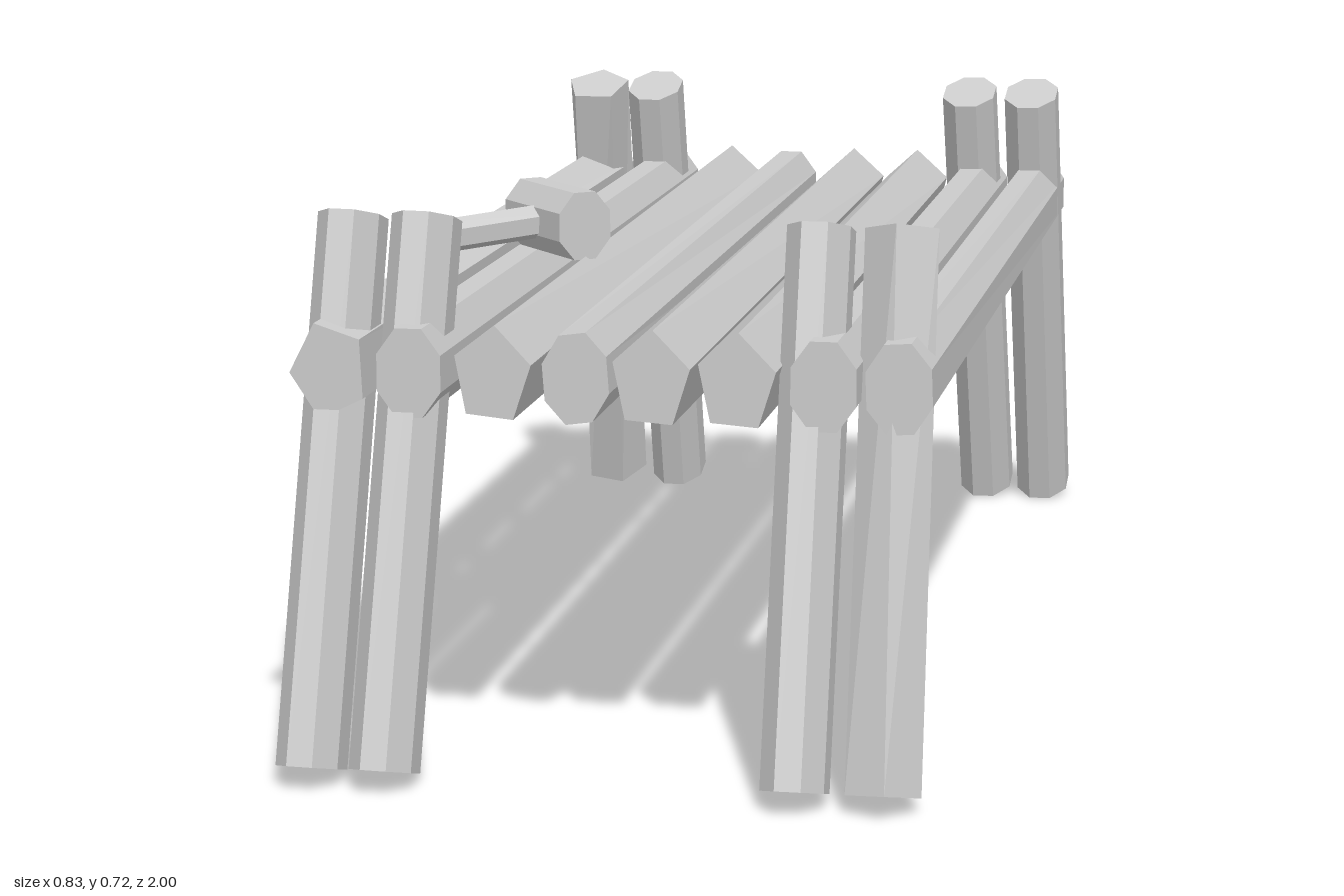
import * as THREE from 'three';

const material = new THREE.MeshStandardMaterial({ color: 0xcccccc, flatShading: true });

// Faceted log between two points; rx and rz are its half widths, twist turns the far end
function makeLog(name, from, to, rx, rz, sides, phase, twist = 0) {
  const a = new THREE.Vector3(...from), b = new THREE.Vector3(...to);
  const y = b.clone().sub(a), length = y.length();
  y.normalize();
  const side = new THREE.Vector3(1, 0, 0);
  const x = side.addScaledVector(y, -side.dot(y)).normalize();
  const z = x.clone().cross(y);

  const geometry = new THREE.CylinderGeometry(1, 1, length, sides, 1, false, phase);
  const p = geometry.attributes.position;
  for (let i = 0; i < p.count; i++) {
    const t = p.getY(i) > 0 ? twist : 0, px = p.getX(i), pz = p.getZ(i);
    p.setX(i, (px * Math.cos(t) + pz * Math.sin(t)) * rx);
    p.setZ(i, (pz * Math.cos(t) - px * Math.sin(t)) * rz);
  }
  geometry.applyMatrix4(new THREE.Matrix4().makeBasis(x, y, z));
  geometry.translate(...a.add(b).multiplyScalar(0.5).toArray());
  geometry.computeVertexNormals();
  const mesh = new THREE.Mesh(geometry, material);
  mesh.name = name;
  return mesh;
}

export function createModel() {
  const model = new THREE.Group();
  model.name = 'logTable';
  const OCT = Math.PI / 8;

  // Table top: eight long logs, [back x, front x, sides, phase, twist]
  const top = new THREE.Group();
  top.name = 'tableTop';
  const logs = [
    [-0.358, -0.36, 5, -Math.PI / 2, 0.06],
    [-0.252, -0.256, 8, OCT, 0],
    [-0.152, -0.148, 5, Math.PI, -0.08],
    [-0.052, -0.04, 8, OCT, 0.1],
    [0.054, 0.056, 5, Math.PI, -0.06],
    [0.16, 0.165, 5, Math.PI, -0.06],
    [0.268, 0.275, 8, OCT, 0],
    [0.362, 0.37, 8, OCT, 0.05],
  ];
  for (const [xBack, xFront, sides, phase, twist] of logs) {
    const [rx, ry] = sides === 5 ? [0.052, 0.065] : [0.045, 0.062];
    top.add(makeLog('topLog', [xBack, 0.521, -0.875], [xFront, 0.52, 0.87], rx, ry, sides, phase, twist));
  }
  model.add(top);

  // Legs: pairs of leaning logs, [end, foot x, head x, sides, phase, twist]
  const legs = [
    [1, -0.372, -0.36, 8, OCT, 0],
    [1, -0.276, -0.262, 8, OCT, 0],
    [1, 0.252, 0.252, 8, OCT, 0],
    [1, 0.363, 0.358, 5, 0.2, -0.25],
    [-1, -0.365, -0.352, 5, Math.PI - 0.2, 0.25],
    [-1, -0.255, -0.255, 8, OCT, 0],
    [-1, 0.275, 0.262, 8, OCT, 0],
    [-1, 0.37, 0.362, 8, OCT, 0],
  ];
  for (const [end, xFoot, xHead, sides, phase, twist] of legs) {
    const [rx, rz] = sides === 5 ? [0.05, 0.062] : [0.044, 0.064];
    const name = end > 0 ? 'frontLeg' : 'backLeg';
    model.add(makeLog(name, [xFoot, 0.018, 0.942 * end], [xHead, 0.7, 0.74 * end], rx, rz, sides, phase, twist));
  }

  // Mallet lying on the table top
  const mallet = new THREE.Group();
  mallet.name = 'mallet';
  mallet.add(
    makeLog('malletHead', [-0.253, 0.628, 0.187], [-0.147, 0.628, 0.313], 0.043, 0.051, 8, OCT),
    makeLog('malletHandle', [-0.2, 0.628, 0.25], [-0.388, 0.612, 0.41], 0.024, 0.024, 6, 0),
  );
  model.add(mallet);
  return model;
}
